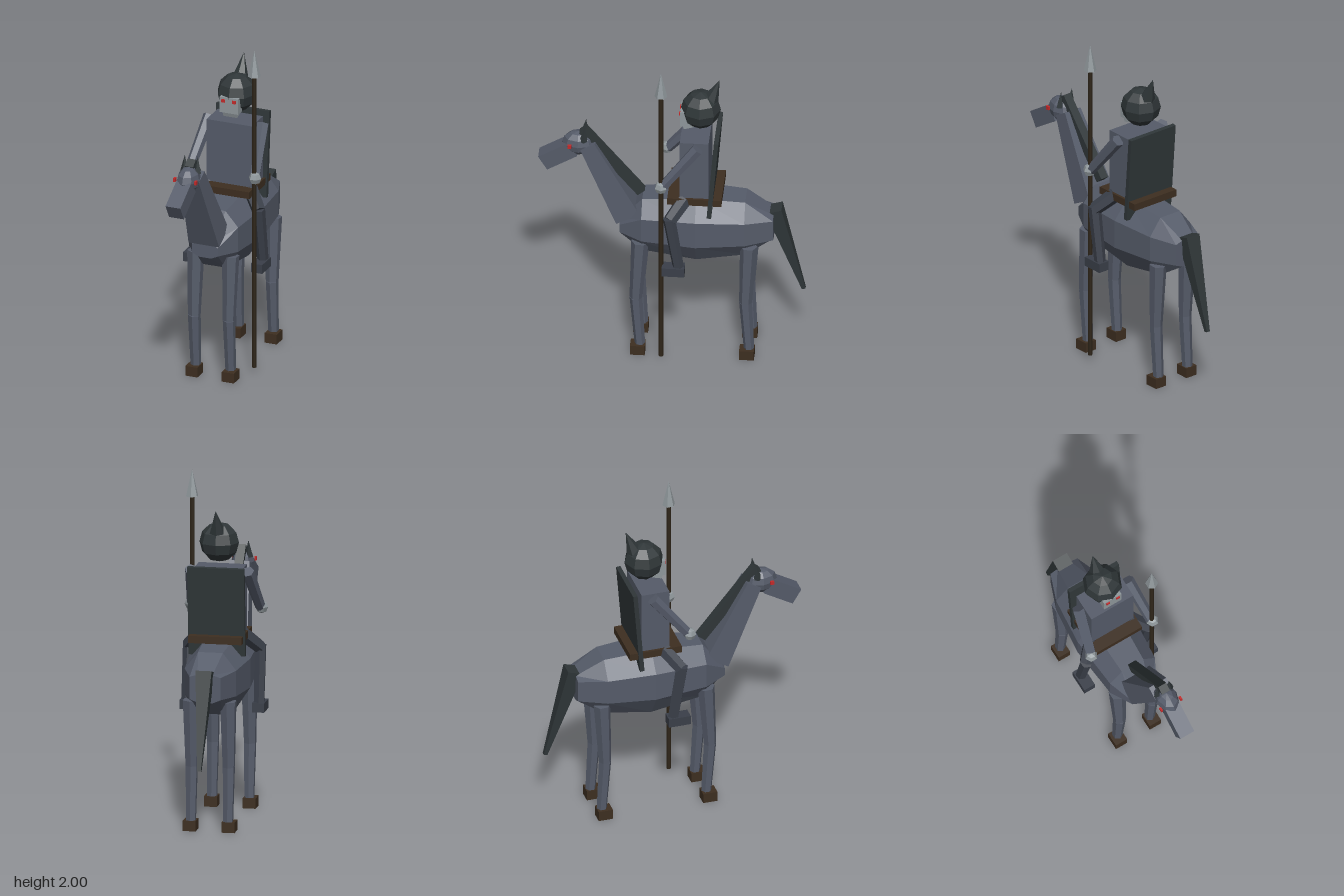
import * as THREE from 'three';

const mat = (name, color) => {
  const m = new THREE.MeshStandardMaterial({ color });
  m.name = name;
  return m;
};
const V = (x, y, z) => new THREE.Vector3(x, y, z);
const UP = V(0, 1, 0);

// Faceted normals for any geometry
function facet(geo) {
  const g = geo.index ? geo.toNonIndexed() : geo;
  g.computeVertexNormals();
  return g;
}

// Octagonal sections [z, halfWidth, bottom, low, high, top], ordered front to back
function loft(sections) {
  const pos = [], idx = [], n = 8;
  for (const [z, w, b, lo, hi, t] of sections) {
    const k = w * 0.48;
    const ring = [[w, lo], [w, hi], [k, t], [-k, t], [-w, hi], [-w, lo], [-k, b], [k, b]];
    for (const [x, y] of ring) pos.push(x, y, z);
  }
  const last = (sections.length - 1) * n;
  for (let i = 0; i < last; i += n) {
    for (let j = 0; j < n; j++) {
      const a = i + j, b = i + (j + 1) % n;
      idx.push(a, a + n, b, b, a + n, b + n);
    }
  }
  for (let j = 1; j < n - 1; j++) {
    idx.push(0, j, j + 1, last, last + j + 1, last + j);
  }
  const g = new THREE.BufferGeometry();
  g.setAttribute('position', new THREE.Float32BufferAttribute(pos, 3));
  g.setIndex(idx);
  return g;
}

export function createModel() {
  const hide = mat('blue grey hide', 0x555b69);
  const dark = mat('dark slate', 0x2f3638);
  const cloth = mat('dark cloth', 0x3a3f49);
  const brown = mat('brown leather', 0x3d2e20);
  const wood = mat('dark wood', 0x2e2519);
  const bone = mat('pale grey', 0x8f979b);
  const red = mat('red glow', 0xc42a2a);

  const model = new THREE.Group();
  model.name = 'mountedLancer';
  const horse = new THREE.Group();
  horse.name = 'horse';
  const rider = new THREE.Group();
  rider.name = 'rider';
  model.add(horse, rider);

  const add = (parent, name, geo, material, p = [0, 0, 0], rx = 0) => {
    const m = new THREE.Mesh(facet(geo), material);
    m.name = name;
    m.position.set(...p);
    m.rotation.x = rx;
    parent.add(m);
    return m;
  };
  const box = (parent, name, size, p, material, rx = 0) =>
    add(parent, name, new THREE.BoxGeometry(...size), material, p, rx);

  // Tapered limb from a to b; four sides give a squared beam with half-widths ra, rb
  const limb = (parent, name, a, b, ra, rb, material, sides = 6, depth = 1) => {
    const from = V(...a), to = V(...b), dir = to.clone().sub(from);
    const k = sides === 4 ? Math.SQRT2 : 1;
    const g = new THREE.CylinderGeometry(rb * k, ra * k, dir.length(), sides);
    if (sides === 4) g.rotateY(Math.PI / 4);
    g.scale(1, 1, depth);
    const m = add(parent, name, g, material);
    m.position.copy(from).add(to).multiplyScalar(0.5);
    m.quaternion.setFromUnitVectors(UP, dir.normalize());
    return m;
  };

  // Horse body, neck, mane and tail
  add(horse, 'body', loft([
    [0.30, 0.08, 0.78, 0.80, 0.85, 0.87],
    [0.17, 0.15, 0.68, 0.79, 0.94, 1.03],
    [-0.14, 0.178, 0.64, 0.78, 0.95, 1.06],
    [-0.42, 0.15, 0.68, 0.79, 0.94, 1.04],
    [-0.58, 0.09, 0.78, 0.80, 0.93, 0.945],
  ]), hide);
  limb(horse, 'neck', [0, 0.9, 0.25], [0, 1.36, 0.485], 0.095, 0.058, hide, 4, 0.8);
  limb(horse, 'mane', [0, 1.04, 0.18], [0, 1.45, 0.515], 0.026, 0.026, dark, 4);
  limb(horse, 'tail', [0, 0.965, -0.58], [0, 0.418, -0.75], 0.047, 0.011, dark, 4);

  // Horse head
  const skull = new THREE.SphereGeometry(1, 8, 6);
  skull.scale(0.066, 0.076, 0.095);
  add(horse, 'horseHead', skull, hide, [0, 1.358, 0.54]);
  box(horse, 'muzzle', [0.092, 0.1, 0.2], [0, 1.28, 0.657], hide, 0.54);

  for (const s of [1, -1]) {
    add(horse, 'ear', new THREE.ConeGeometry(0.025, 0.1, 4), dark, [s * 0.04, 1.44, 0.505], -0.1);
    box(horse, 'horseEye', [0.012, 0.022, 0.022], [s * 0.065, 1.365, 0.588], red);

    // Horse legs: [hip z, knee z, ankle z, hoof z]
    for (const [hip, knee, ankle, hoof] of [[0.18, 0.203, 0.18, 0.192], [-0.443, -0.425, -0.445, -0.433]]) {
      const x = s * 0.108;
      limb(horse, 'upperLeg', [x, 0.765, hip], [x, 0.375, knee], 0.05, 0.037, hide);
      limb(horse, 'lowerLeg', [x, 0.375, knee], [x, 0.05, ankle], 0.037, 0.03, hide);
      box(horse, 'hoof', [0.075, 0.06, 0.085], [s * 0.113, 0.03, hoof], brown);
    }
  }

  // Saddle
  box(horse, 'saddle', [0.31, 0.042, 0.31], [0, 1.08, -0.135], brown);

  // Rider torso and back shield
  box(rider, 'torso', [0.28, 0.4, 0.165], [0, 1.28, -0.133], hide);
  box(rider, 'shield', [0.33, 0.52, 0.026], [0, 1.24, -0.24], dark, -0.08);

  // Helmet, spike, face and jaw
  add(rider, 'helmet', new THREE.SphereGeometry(0.115, 8, 6), dark, [0, 1.63, -0.16]);
  limb(rider, 'helmetSpike', [0, 1.69, -0.213], [0, 1.832, -0.267], 0.05, 0.001, dark, 6);
  box(rider, 'face', [0.115, 0.095, 0.06], [0, 1.587, -0.076], bone);
  box(rider, 'jaw', [0.085, 0.035, 0.06], [0, 1.535, -0.09], bone, 0.3);

  for (const s of [1, -1]) {
    box(rider, 'eye', [0.022, 0.018, 0.01], [s * 0.033, 1.613, -0.044], red);

    // Arms and hands
    limb(rider, 'arm', [s * 0.165, 1.46, -0.155], [s * 0.2, 1.21, 0.045], 0.037, 0.03, hide);
    add(rider, 'hand', new THREE.SphereGeometry(0.038, 6, 4), bone, [s * 0.205, 1.21, 0.052]);

    // Rider legs and boots
    limb(rider, 'thigh', [s * 0.12, 1.08, -0.08], [s * 0.207, 0.985, 0.0], 0.045, 0.04, cloth);
    limb(rider, 'shin', [s * 0.207, 1.0, 0.005], [s * 0.21, 0.66, -0.05], 0.037, 0.033, cloth);
    box(rider, 'boot', [0.07, 0.055, 0.13], [s * 0.211, 0.648, -0.02], cloth);
  }

  // Lance held in the left hand
  limb(rider, 'lanceShaft', [0.2, 0.04, 0.052], [0.2, 1.85, 0.052], 0.0135, 0.0135, wood);
  add(rider, 'lanceTip', new THREE.ConeGeometry(0.037, 0.16, 6), bone, [0.2, 1.92, 0.052]);

  return model;
}
